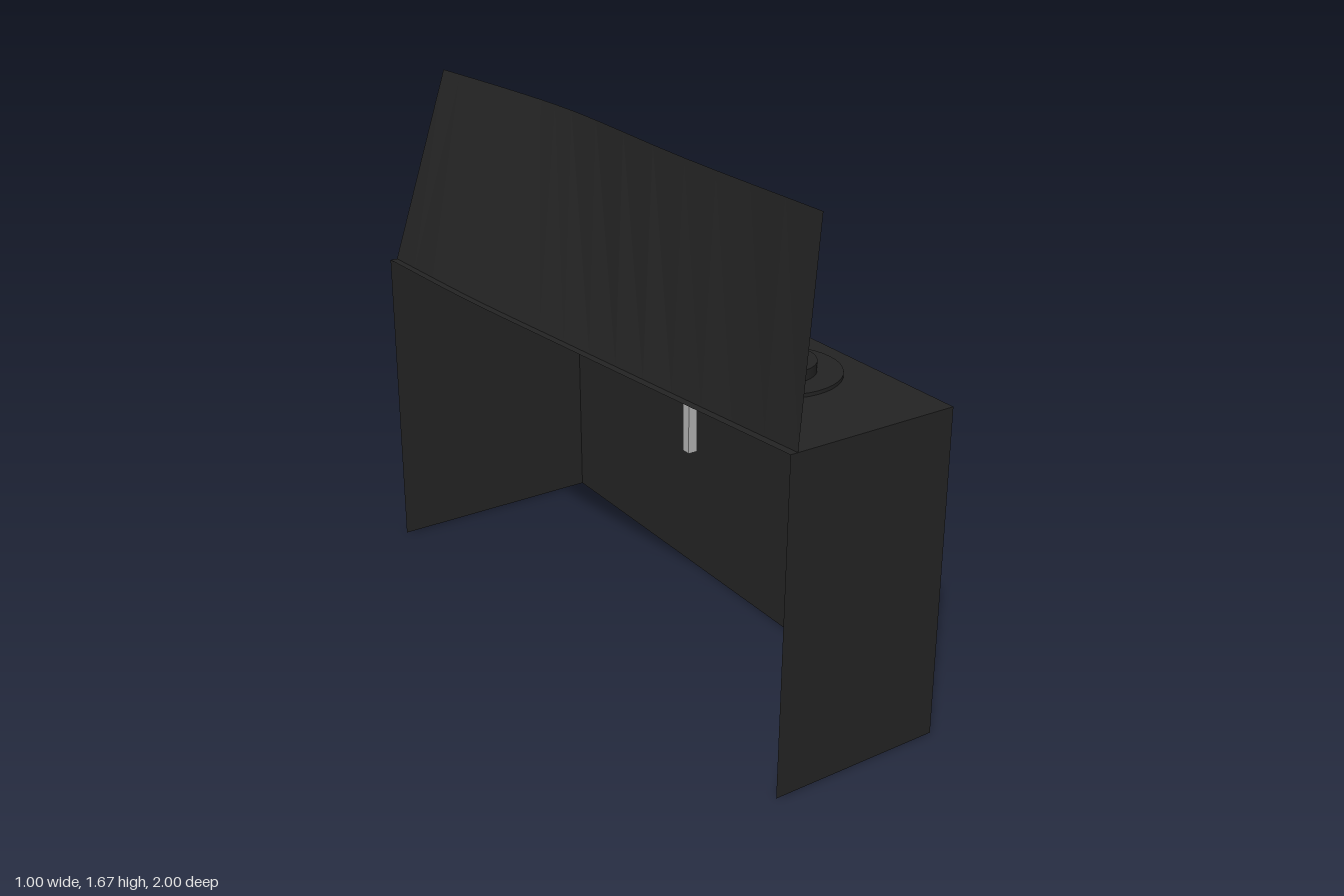
import * as THREE from 'three';

const mat = (name, color, side = THREE.FrontSide) => {
  const m = new THREE.MeshStandardMaterial({ color, side });
  m.name = name;
  return m;
};

export function createModel() {
  const root = new THREE.Group();
  root.name = 'sideConsole';
  const black = mat('black', 0x232323, THREE.DoubleSide);
  const orange = mat('orange', 0xd2691e);
  const grey = mat('lightGrey', 0xb2b2b2);
  const blue = mat('blue', 0x2655a6);
  const red = mat('red', 0xb22222);

  const add = (name, geo, material, x = 0, y = 0, z = 0) => {
    const mesh = new THREE.Mesh(geo, material);
    mesh.name = name;
    mesh.position.set(x, y, z);
    root.add(mesh);
    return mesh;
  };
  const box = (w, h, d) => new THREE.BoxGeometry(w, h, d);
  const cyl = (r, h, n = 24) => new THREE.CylinderGeometry(r, r, h, n);
  const ball = (r) => new THREE.SphereGeometry(r, 24, 16);

  // Ruled sheet between two edge curves given as functions of t
  const sheet = (a, b, n) => {
    const pos = [];
    for (let i = 0; i < n; i++) {
      const a0 = a(i / n), a1 = a((i + 1) / n), b0 = b(i / n), b1 = b((i + 1) / n);
      pos.push(...a0, ...a1, ...b1, ...a0, ...b1, ...b0);
    }
    const g = new THREE.BufferGeometry();
    g.setAttribute('position', new THREE.Float32BufferAttribute(pos, 3));
    g.computeVertexNormals();
    return g;
  };
  // x along a smooth edge through a few [z, x] stations
  const edge = (stations, y) => {
    const curve = new THREE.CatmullRomCurve3(stations.map(([z, x]) => new THREE.Vector3(x, y, z)));
    return (t) => curve.getPoint(t).toArray();
  };

  // Console shell: open underneath and on the outer side
  const H = 1.045, R = 0.245;
  const outer = [[1, -0.307], [0.5, -0.36], [0, -0.411], [-0.5, -0.46], [-1, -0.49]];
  const deskEdge = edge(outer, H);
  const innerEdge = (t) => [R, H, 1 - 2 * t];
  add('consoleTop', sheet(innerEdge, deskEdge, 16), black);
  add('consoleFace', sheet((t) => [R, 0, 1 - 2 * t], innerEdge, 1), black);
  for (const [name, z, top, bottom] of [['frontEnd', 1, -0.307, -0.32], ['rearEnd', -1, -0.49, -0.5]]) {
    const lower = (t) => [bottom + (R - bottom) * t, 0, z];
    const upper = (t) => [top + (R - top) * t, H, z];
    add(name, z > 0 ? sheet(lower, upper, 1) : sheet(upper, lower, 1), black);
  }

  // Leaning side wall with a wavy top edge
  const wallFoot = edge(outer.map(([z, x]) => [z, x + 0.024]), H);
  const wallTop = edge([[1, -0.23], [0.4, -0.228], [-0.25, -0.198], [-0.6, -0.215], [-1, -0.253]], 1.67);
  add('sideWall', sheet(wallFoot, wallTop, 16), black);

  // Plates on the console top
  add('centrePlate', box(0.325, 0.01, 0.715), black, 0.0725, 1.05, -0.028);
  add('switchPlate', box(0.18, 0.012, 0.18), black, 0.145, 1.05, -0.622);
  add('dialBase', cyl(0.187, 0.012, 40), black, -0.005, 1.05, 0.545);
  add('dialDrum', cyl(0.112, 0.036, 40), black, -0.005, 1.07, 0.545);
  add('dialPointer', box(0.02, 0.02, 0.11), black, -0.005, 1.094, 0.49);

  // Trim wheel rising through the top
  const ring = new THREE.Shape().absarc(0, 0, 0.138, 0, Math.PI * 2);
  ring.holes.push(new THREE.Path().absarc(0, 0, 0.1, 0, Math.PI * 2, true));
  const wheel = new THREE.ExtrudeGeometry(ring, { depth: 0.045, bevelEnabled: false, curveSegments: 24 });
  wheel.translate(0, 0, -0.0225).rotateY(Math.PI / 2);
  add('trimWheel', wheel, black, -0.005, 0.98, -0.36);

  // Small toggle switch
  const toggle = [[0, 0], [0.013, 0], [0.013, 0.012], [0.006, 0.016], [0.006, 0.036], [0.011, 0.05], [0.008, 0.06], [0, 0.06]];
  add('toggleSwitch', new THREE.LatheGeometry(toggle.map(([x, y]) => new THREE.Vector2(x, y)), 12), grey, 0.145, 1.052, -0.63);

  // Three levers in a row
  add('greyLeverStem', box(0.031, 0.77, 0.031), grey, -0.015, 1.025, 0.122);
  add('greyLeverGrip', box(0.128, 0.064, 0.064), grey, 0.019, 1.442, 0.122);
  for (const [name, m, x, y] of [['blueLever', blue, 0.083, 1.325], ['redLever', red, 0.182, 1.225]]) {
    add(name + 'Stem', cyl(0.01, y - 0.85, 12), m, x, (y + 0.85) / 2, 0.122);
    add(name + 'Knob', ball(0.038), m, x, y, 0.122);
  }

  // Wall controls: plate, pivot, angled handle and round knob
  add('wallPlate', box(0.024, 0.225, 0.22), black, -0.234, 1.248, 0.05);
  add('handlePivot', cyl(0.023, 0.042, 16), grey, -0.204, 1.248, 0.05).rotation.z = Math.PI / 2;
  add('wallHandle', box(0.013, 0.225, 0.022), red, -0.158, 1.355, 0.05).rotation.z = -0.385;
  add('wallKnob', cyl(0.039, 0.093, 16), orange, -0.196, 1.348, 0.4).rotation.z = Math.PI / 2;

  // Free-standing tall lever on its pedestal
  add('pedestal', box(0.15, 0.345, 0.245), black, 0.42, 0.1725, -0.248);
  add('tallLeverStem', cyl(0.019, 0.7, 8), orange, 0.42, 0.69, -0.248);
  add('tallLeverKnob', ball(0.053), orange, 0.42, 1.048, -0.248);

  return root;
}
